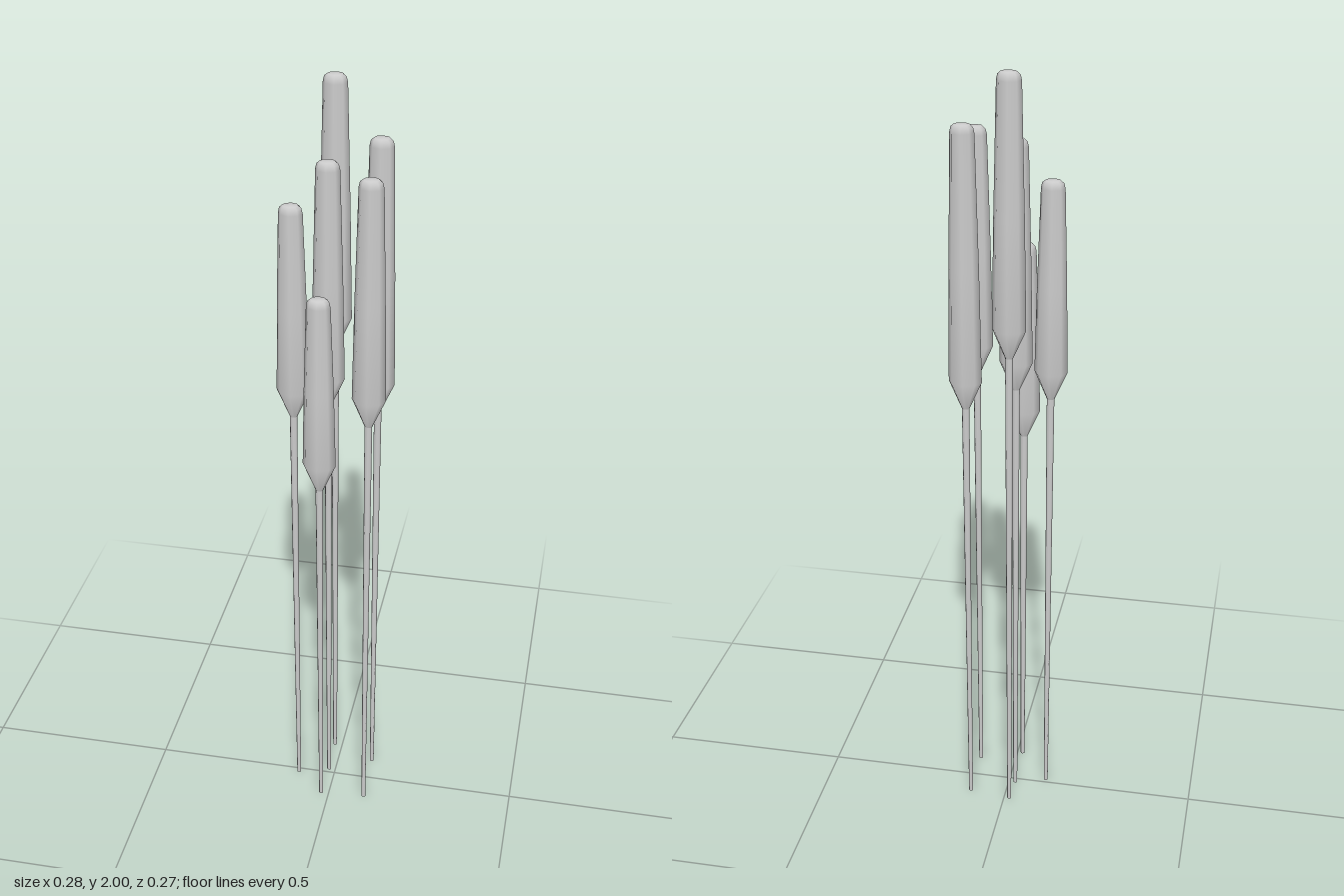
import * as THREE from 'three';

// Each reed: x, z, foot height, head bottom, head top
const REEDS = [
  [-0.018, -0.104, 0.015, 1.32, 2.0],
  [0.096, -0.072, 0, 1.165, 1.87],
  [-0.018, -0.014, 0, 1.2, 1.828],
  [-0.1, 0.012, 0, 1.17, 1.727],
  [0.098, 0.076, 0, 1.2, 1.828],
  [-0.018, 0.1, 0.015, 1.02, 1.54],
];
const DEPTH = 0.79; // every section is a flattened octagon

const material = new THREE.MeshStandardMaterial({ color: 0xcccccc });

// Eight-sided flattened lathe from [radius, height] pairs, bottom to top
function lathe(name, profile) {
  const points = profile.map(([r, y]) => new THREE.Vector2(r, y));
  const geometry = new THREE.LatheGeometry(points, 8).scale(1, 1, DEPTH);
  const mesh = new THREE.Mesh(geometry, material);
  mesh.name = name;
  return mesh;
}

function createReed([x, z, foot, bottom, top]) {
  const reed = new THREE.Group();
  reed.name = 'reed';
  reed.position.set(x, 0, z);

  // Thin stem, slightly narrower at the foot
  reed.add(lathe('stem', [[0, foot], [0.0055, foot], [0.0095, bottom + 0.01]]));

  // Seed head: short flare, long taper and a softly rounded tip
  const wide = bottom + 0.075;
  reed.add(lathe('seedHead', [
    [0.0085, bottom],
    [0.041, wide],
    [0.0365, wide + (top - wide) * 0.45],
    [0.029, top - 0.02],
    [0.026, top - 0.007],
    [0.019, top - 0.001],
    [0, top],
  ]));
  return reed;
}

export function createModel() {
  const model = new THREE.Group();
  model.name = 'reedCluster';
  REEDS.forEach((r) => model.add(createReed(r)));
  return model;
}
